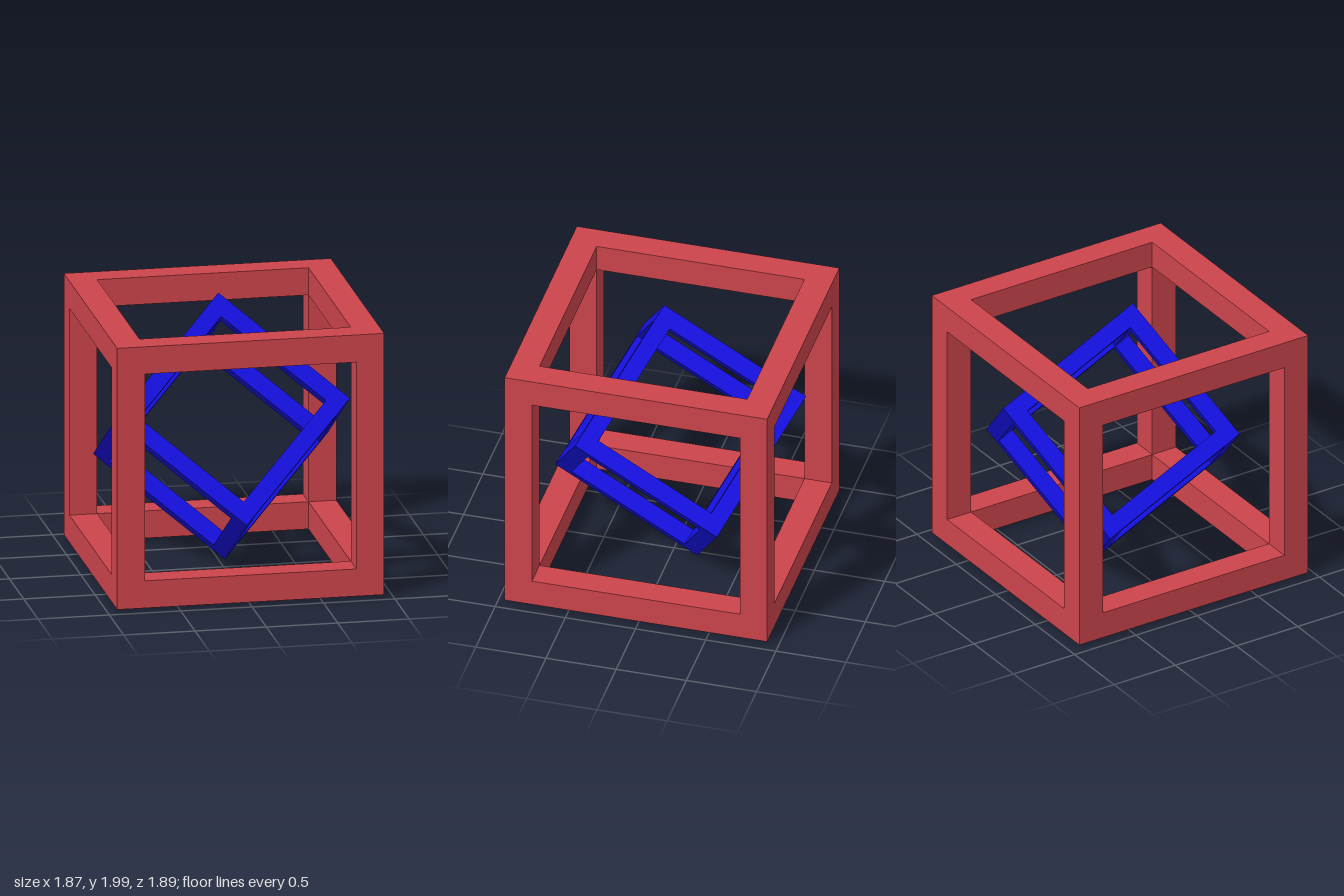
import * as THREE from 'three';

// Open cube made of twelve square bars that meet without overlapping
function cubeFrame(name, side, bar, color) {
  const frame = new THREE.Group();
  frame.name = name;
  const material = new THREE.MeshStandardMaterial({ color, flatShading: true });
  const offset = (side - bar) / 2;
  ['x', 'y', 'z'].forEach((axis, i) => {
    const size = [bar, bar, bar];
    size[i] = i === 0 ? side : side - 2 * bar;
    const geometry = new THREE.BoxGeometry(...size);
    for (const a of [-offset, offset]) {
      for (const b of [-offset, offset]) {
        const mesh = new THREE.Mesh(geometry, material);
        mesh.name = `${name}Bar${axis.toUpperCase()}`;
        const p = [0, 0, 0];
        p[(i + 1) % 3] = a;
        p[(i + 2) % 3] = b;
        mesh.position.set(...p);
        frame.add(mesh);
      }
    }
  });
  return frame;
}

export function createModel() {
  const model = new THREE.Group();
  model.name = 'nestedCubes';

  // Upright outer frame
  const outer = cubeFrame('outerFrame', 1.87, 0.195, 0xcc444c);
  outer.position.set(0, 0.962, 0.015);
  model.add(outer);

  // Inner frame tipped almost onto one corner
  const inner = cubeFrame('innerFrame', 1.16, 0.119, 0x1510e0);
  const w = new THREE.Vector3(0.045, -0.465, -0.884).normalize(); // edge running back and down
  const d = new THREE.Vector3(0.027, -0.88, 0.474);               // diagonal of the front face
  d.addScaledVector(w, -d.dot(w)).normalize();
  const e = new THREE.Vector3().crossVectors(w, d);               // the other diagonal
  const u = d.clone().add(e).normalize();
  const v = new THREE.Vector3().crossVectors(w, u);
  inner.quaternion.setFromRotationMatrix(new THREE.Matrix4().makeBasis(u, v, w));
  inner.position.set(-0.005, 1.002, -0.045);
  model.add(inner);

  return model;
}
